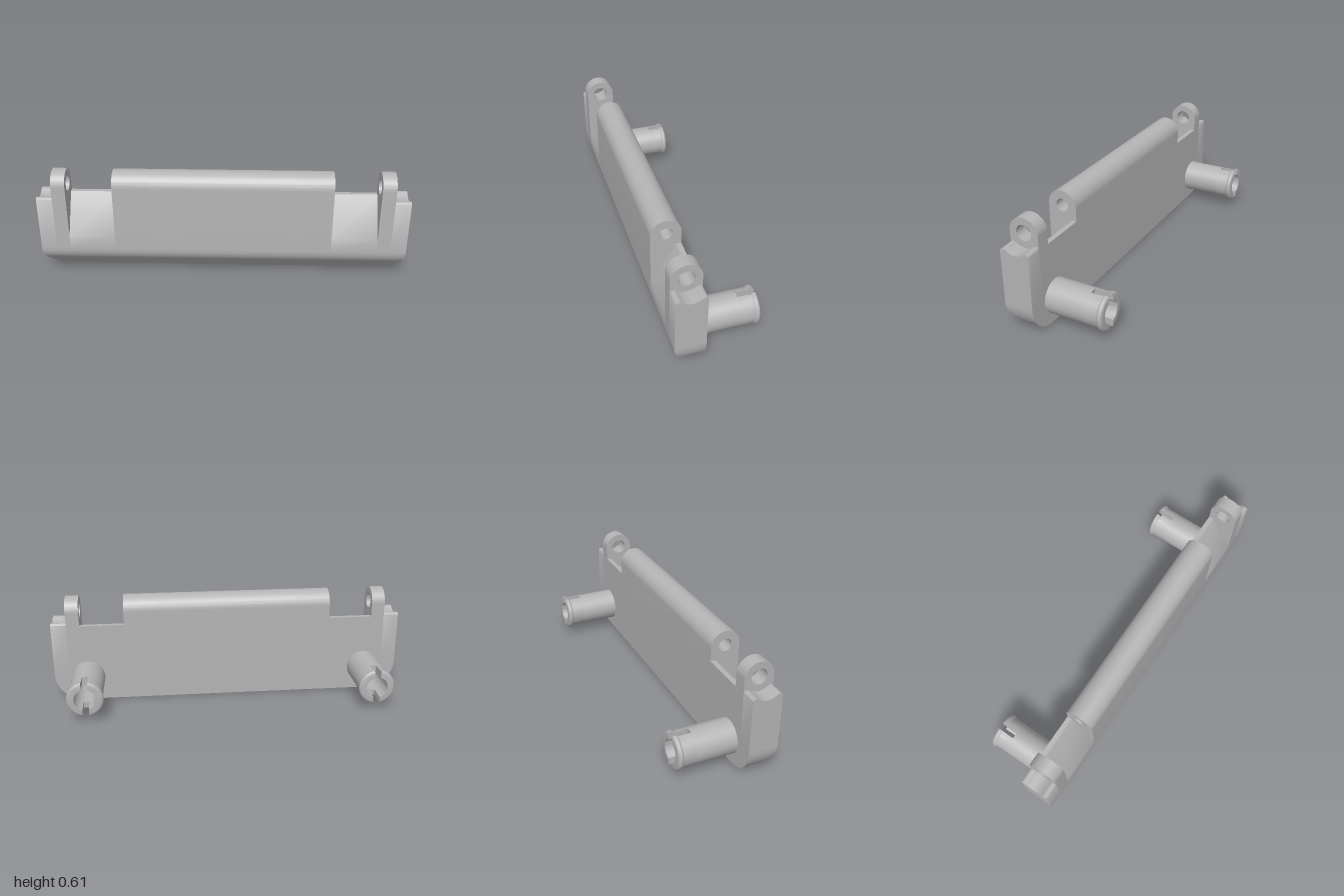
import * as THREE from 'three';
import { toCreasedNormals } from 'three/addons/utils/BufferGeometryUtils.js';

const BACK = 0.08, FRONT = 0.24, SEAM = 0.16;    // plate depth and height of the lower lip
const MID = 0.16, HINGE = 0.525, ROUND = 0.08;   // hinge axis and rounded top
const BORE = 0.06, PIN = 0.0925, SLOT = 0.0175, SLOT_END = -0.14;

function buildGeometry(points, index) {
  const g = new THREE.BufferGeometry();
  g.setAttribute('position', new THREE.Float32BufferAttribute(points, 3));
  g.setIndex(index);
  return toCreasedNormals(g, 0.6);
}

// Extrude a (z, y) outline along x
function section(shape, x0, x1) {
  const g = new THREE.ExtrudeGeometry(shape, { depth: x1 - x0, bevelEnabled: false, curveSegments: 28 });
  g.rotateY(-Math.PI / 2).translate(x1, 0, 0);
  return toCreasedNormals(g, 0.6);
}

function startShape() {
  return new THREE.Shape().moveTo(BACK, SEAM).lineTo(FRONT, SEAM);
}

// Round-topped outline with an optional hinge hole
function roundedShape(hole) {
  const s = startShape();
  s.lineTo(FRONT, HINGE);
  s.absarc(MID, HINGE, ROUND, 0, Math.PI, false);
  s.lineTo(BACK, SEAM);
  if (hole) s.holes.push(new THREE.Path().absarc(MID, HINGE, hole, 0, Math.PI * 2, true));
  return s;
}

function notchShape() {
  return startShape().lineTo(FRONT, 0.237).lineTo(0.107, 0.45).lineTo(BACK, 0.45).lineTo(BACK, SEAM);
}

// End block with a hollow top concentric with the hinge
function endShape() {
  const s = startShape();
  const a = Math.atan2(-0.062, 0.05);
  s.lineTo(FRONT, 0.457);
  s.quadraticCurveTo(0.232, 0.475, 0.21, 0.463);
  s.absarc(MID, HINGE, ROUND, a, -Math.PI - a, true);
  s.quadraticCurveTo(0.088, 0.475, BACK, 0.457);
  s.lineTo(BACK, SEAM);
  return s;
}

// Lower lip: stacked rectangles with rounded ends and a chamfered front
function lowerLip() {
  const steps = 20, points = [], index = [0, 1, 2, 0, 2, 3];
  for (let i = 0; i <= steps; i++) {
    const a = (i / steps) * Math.PI / 2;
    const y = SEAM * (1 - Math.cos(a));
    const w = 0.84 + 0.16 * Math.sin(a);
    const front = y < 0.092 ? 0.12 + y : 0.144 + Math.sqrt(0.096 ** 2 - (SEAM - y) ** 2);
    points.push(-w, y, BACK, w, y, BACK, w, y, front, -w, y, front);
    if (i === steps) break;
    for (let k = 0; k < 4; k++) {
      const p = i * 4 + k, q = i * 4 + (k + 1) % 4;
      index.push(p, p + 4, q, q, p + 4, q + 4);
    }
  }
  return buildGeometry(points, index);
}

// Hollow pin stem
function pinStem() {
  const profile = [[BORE, BACK], [BORE, SLOT_END], [PIN, SLOT_END], [PIN, BACK]]
    .map(([r, z]) => new THREE.Vector2(r, -z));
  const g = new THREE.LatheGeometry(profile.reverse(), 40);
  g.rotateX(-Math.PI / 2);
  return toCreasedNormals(g, 0.6);
}

// One springy half of the slotted pin tip, with a rounded rim
function pinJaw() {
  const profile = [new THREE.Vector2(BORE, -0.24)];
  for (let i = 0; i <= 8; i++) {
    const t = THREE.MathUtils.degToRad(-90 + i * 154 / 8);
    profile.push(new THREE.Vector2(0.086 + 0.015 * Math.cos(t), -0.225 + 0.015 * Math.sin(t)));
  }
  profile.push(new THREE.Vector2(PIN, SLOT_END), new THREE.Vector2(BORE, SLOT_END));
  const n = profile.length, steps = 20, points = [], index = [];
  for (let i = 0; i <= steps; i++) {
    for (let j = 0; j < n; j++) {
      const { x: r, y: z } = profile[j];
      const a = (2 * i / steps - 1) * (Math.PI / 2 - Math.asin(SLOT / r));
      points.push(r * Math.cos(a), r * Math.sin(a), z);
      if (i === steps) continue;
      const p = i * n + j, q = i * n + (j + 1) % n;
      index.push(p, p + n, q, q, p + n, q + n);
    }
  }
  const last = steps * n;
  for (const [a, b, c] of THREE.ShapeUtils.triangulateShape(profile, [])) {
    index.push(a, b, c, last + a, last + c, last + b);
  }
  return buildGeometry(points, index);
}

export function createModel() {
  const model = new THREE.Group();
  model.name = 'hingedPanel';
  const grey = new THREE.MeshStandardMaterial({ color: 0xb4b4b4 });
  grey.name = 'lightGrey';

  const add = (name, geometry, parent = model) => {
    const mesh = new THREE.Mesh(geometry, grey);
    mesh.name = name;
    parent.add(mesh);
    return mesh;
  };

  add('lowerLip', lowerLip());
  add('centrePanel', section(roundedShape(0), -0.39, 0.39));

  // Parts mirrored on both ends
  for (const [side, s] of [['left', 1], ['right', -1]]) {
    const addSection = (name, shape, a, b) =>
      add(side + name, section(shape, Math.min(s * a, s * b), Math.max(s * a, s * b)));
    addSection('PanelSocket', roundedShape(0.035), 0.39, 0.59);
    addSection('SlopedNotch', notchShape(), 0.59, 0.84);
    addSection('HingeEar', roundedShape(0.043), 0.84, 0.915);
    addSection('EndBlock', endShape(), 0.915, 1);

    // Slotted snap pin on the back
    const pin = new THREE.Group();
    pin.name = side + 'SnapPin';
    pin.position.set(s * 0.806, 0.143, 0);
    add('pinStem', pinStem(), pin);
    add('pinJawOuter', pinJaw(), pin);
    add('pinJawInner', pinJaw(), pin).rotation.z = Math.PI;
    model.add(pin);
  }
  return model;
}
